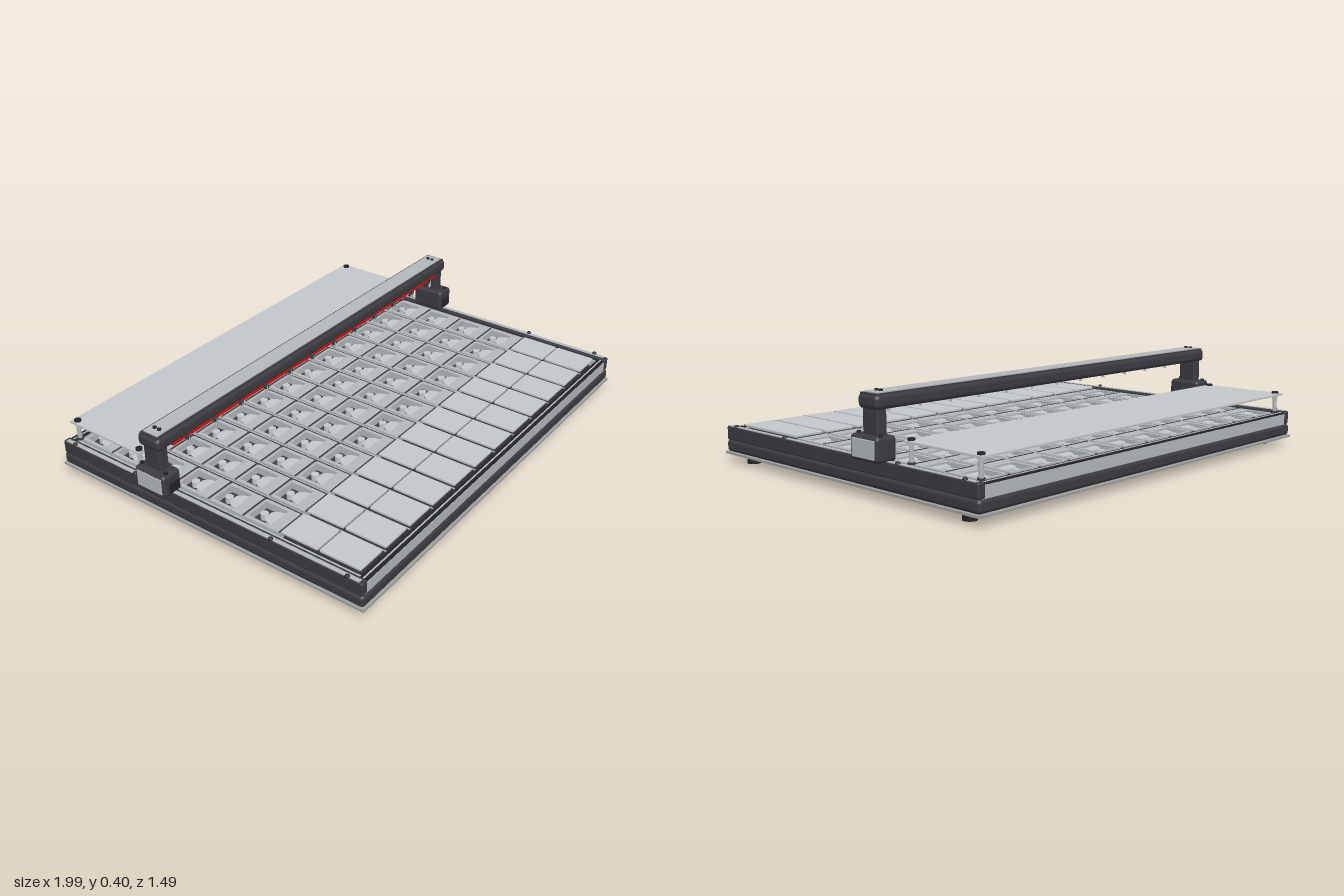
import * as THREE from 'three';
import { RoundedBoxGeometry } from 'three/addons/geometries/RoundedBoxGeometry.js';

const material = (name, color) => {
  const m = new THREE.MeshStandardMaterial({ color });
  m.name = name;
  return m;
};

export function createModel() {
  const model = new THREE.Group();
  model.name = 'gantryTable';
  const dark = material('charcoal', 0x3b3b41);
  const black = material('black', 0x242427);
  const silver = material('silver', 0xb4b8bc);
  const pale = material('paleGrey', 0xc3c7ca);
  const base = material('baseGrey', 0xa0a0a0);
  const red = material('red', 0xd01510);

  const add = (name, geometry, mat, x = 0, y = 0, z = 0, parent = model) => {
    const mesh = new THREE.Mesh(geometry, mat);
    mesh.name = name;
    mesh.position.set(x, y, z);
    parent.add(mesh);
    return mesh;
  };
  // Box given by its lower and upper limits on each axis
  const span = (name, mat, x0, x1, y0, y1, z0, z1, r = 0) => {
    const s = [x1 - x0, y1 - y0, z1 - z0];
    const g = r ? new RoundedBoxGeometry(...s, 2, r) : new THREE.BoxGeometry(...s);
    return add(name, g, mat, (x0 + x1) / 2, (y0 + y1) / 2, (z0 + z1) / 2);
  };
  // Outline in plan, raised upwards; shape y points to the back
  const raise = (shape, height) =>
    new THREE.ExtrudeGeometry(shape, { depth: height, bevelEnabled: false, curveSegments: 10 }).rotateX(-Math.PI / 2);
  const rect = (Type, x0, y0, x1, y1) =>
    new Type([[x0, y0], [x1, y0], [x1, y1], [x0, y1]].map(p => new THREE.Vector2(...p)));

  // Base plate, feet and bed floor
  span('basePlate', base, -0.958, 0.958, 0.034, 0.043, -0.745, 0.745);
  const foot = new THREE.CylinderGeometry(0.027, 0.027, 0.034, 20);
  for (const x of [-0.895, 0.895]) for (const z of [-0.635, 0.635]) add('foot', foot, black, x, 0.017, z);
  span('bedFloor', black, -0.93, 0.93, 0.05, 0.108, -0.72, 0.72);

  // Frame rails along front and back
  for (const s of [-1, 1]) {
    const rail = (name, mat, y0, y1, a, b, half, r) =>
      span(name, mat, -half, half, y0, y1, Math.min(s * a, s * b), Math.max(s * a, s * b), r);
    rail('lowerRail', dark, 0.043, 0.093, 0.69, 0.74, 0.955, 0.015);
    rail('fasciaPanel', silver, 0.092, 0.138, 0.7, 0.733, 0.935);
    rail('fasciaCap', black, 0.138, 0.143, 0.7, 0.731, 0.93);
    rail('capTrim', silver, 0.143, 0.145, 0.712, 0.718, 0.92);
  }

  // Side rails, their trim and screws
  const railScrew = new THREE.SphereGeometry(0.01, 10, 5, 0, Math.PI * 2, 0, Math.PI / 2);
  for (const s of [-1, 1]) {
    const side = (name, mat, a, b, y0, y1, half, r) =>
      span(name, mat, Math.min(s * a, s * b), Math.max(s * a, s * b), y0, y1, -half, half, r);
    side('lowerSideRail', dark, 0.91, 0.955, 0.043, 0.092, 0.74, 0.015);
    side('upperSideRail', dark, 0.92, 0.953, 0.092, 0.149, 0.735, 0.006);
    side('railTrim', silver, 0.933, 0.95, 0.148, 0.151, 0.72);
    side('innerLedge', silver, 0.905, 0.912, 0.1, 0.138, 0.7);
    for (const z of [-0.67, -0.335, 0.335, 0.67]) add('railScrew', railScrew, black, s * 0.948, 0.15, z);
  }

  // Tray grid: framed wells with a bust-shaped marker in each
  const frameShape = rect(THREE.Shape, -0.065, -0.082, 0.065, 0.082);
  frameShape.holes.push(rect(THREE.Path, -0.05, -0.028, 0.05, 0.074));
  const trayFrame = raise(frameShape, 0.037);
  const bust = new THREE.Shape();
  bust.moveTo(-0.042, -0.026);
  bust.lineTo(0.042, -0.026);
  bust.quadraticCurveTo(0.04, 0.006, 0.018, 0.022);
  bust.lineTo(-0.018, 0.022);
  bust.quadraticCurveTo(-0.04, 0.006, -0.042, -0.026);
  const shoulders = raise(bust, 0.028);
  const head = new THREE.CylinderGeometry(0.016, 0.016, 0.028, 16);
  const wellFloor = new THREE.BoxGeometry(0.102, 0.006, 0.104);
  const lip = new THREE.BoxGeometry(0.128, 0.003, 0.005);
  const cover = new RoundedBoxGeometry(0.132, 0.014, 0.164, 1, 0.005);
  const frontCover = new RoundedBoxGeometry(0.132, 0.014, 0.178, 1, 0.005);
  const pitch = 0.151;
  const columnX = i => (i - 5.5) * pitch;

  for (let i = 0; i < 12; i++) {
    const column = new THREE.Group();
    column.name = 'trayColumn';
    column.position.x = columnX(i);
    model.add(column);
    for (let row = 0; row < 6; row++) {
      const z = 0.25 - row * 0.17;
      add('trayFrame', trayFrame, silver, 0, 0.106, z, column);
      add('wellFloor', wellFloor, dark, 0, 0.109, z - 0.023, column);
      add('markerShoulders', shoulders, pale, 0, 0.108, z, column);
      add('markerHead', head, pale, 0, 0.122, z - 0.041, column);
      add('trayLip', lip, dark, 0, 0.1435, z + 0.08, column);
    }
    add('cover', cover, pale, 0, 0.148, 0.421, column);
    add('frontCover', frontCover, pale, 0, 0.148, 0.599, column);
    add('coverSupport', new THREE.BoxGeometry(0.11, 0.04, 0.33), dark, 0, 0.123, 0.51, column);
  }
  // Dividers between columns
  for (let i = 0; i < 11; i++) {
    const x = columnX(i) + pitch / 2;
    span('divider', dark, x - 0.006, x + 0.006, 0.1, 0.14, -0.7, 0.695);
    span('dividerTrim', silver, x - 0.002, x + 0.002, 0.14, 0.143, -0.7, 0.695);
  }

  // Rear shelf on four posts
  span('rearShelf', pale, -0.92, 0.92, 0.221, 0.229, -0.72, -0.335);
  const shelfPost = new THREE.CylinderGeometry(0.009, 0.009, 0.12, 12);
  const shelfBolt = new THREE.CylinderGeometry(0.014, 0.014, 0.008, 12);
  for (const x of [-0.9, 0.9]) for (const z of [-0.695, -0.352]) {
    add('shelfPost', shelfPost, silver, x, 0.162, z);
    add('shelfBolt', shelfBolt, black, x, 0.233, z);
    add('shelfNut', shelfBolt, silver, x, 0.217, z);
    add('postCollar', shelfBolt, dark, x, 0.148, z);
  }

  // Gantry carriages and uprights
  const bolt = new THREE.CylinderGeometry(0.008, 0.008, 0.008, 10);
  for (const s of [-1, 1]) {
    const x = s * 0.95;
    add('carriage', new RoundedBoxGeometry(0.09, 0.093, 0.152, 2, 0.014), dark, x, 0.192, -0.206);
    add('carriagePlate', new RoundedBoxGeometry(0.008, 0.07, 0.126, 2, 0.003), silver, s * 0.993, 0.192, -0.206);
    add('upright', new RoundedBoxGeometry(0.044, 0.12, 0.084, 2, 0.008), dark, s * 0.944, 0.282, -0.21);
    add('bumper', new THREE.BoxGeometry(0.05, 0.04, 0.012), black, s * 0.945, 0.18, -0.13);
    for (const z of [-0.268, -0.146]) add('carriageBolt', bolt, black, s * 0.965, 0.241, z);
  }

  // Gantry beam with its cover plate, red strip and nozzles
  span('beam', dark, -0.98, 0.98, 0.329, 0.383, -0.266, -0.157, 0.018);
  span('beamCapBase', dark, -0.972, 0.972, 0.378, 0.386, -0.255, -0.168);
  span('beamCover', silver, -0.962, 0.962, 0.385, 0.39, -0.247, -0.176);
  for (const x of [-0.925, 0.925]) for (const z of [-0.223, -0.2]) add('coverScrew', bolt, black, x, 0.392, z);
  span('redStrip', red, -0.9, 0.9, 0.322, 0.334, -0.176, -0.16);
  const nozzle = new THREE.CylinderGeometry(0.006, 0.006, 0.034, 10);
  const nozzleMount = new THREE.BoxGeometry(0.014, 0.014, 0.03);
  for (let i = 0; i < 12; i++) {
    add('nozzle', nozzle, silver, columnX(i), 0.316, -0.15);
    add('nozzleMount', nozzleMount, dark, columnX(i), 0.327, -0.16);
  }
  return model;
}
